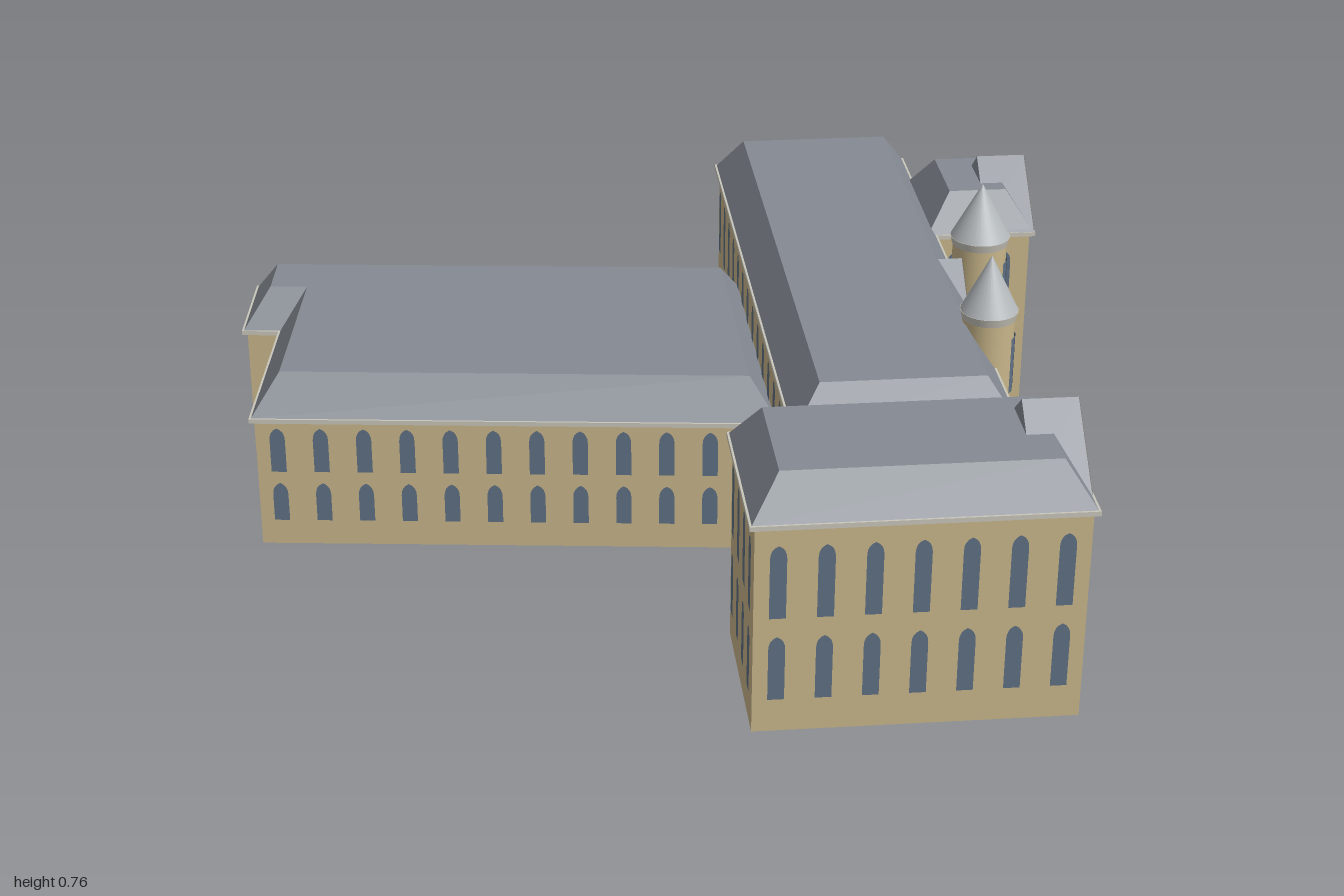
import * as THREE from 'three';

const mat = (name, color, side = THREE.FrontSide) => {
  const m = new THREE.MeshStandardMaterial({ color, side });
  m.name = name;
  return m;
};
const D = THREE.DoubleSide;
const stone = mat('sandstone', 0xc8b68a, D);
const slate = mat('slate', 0x858b93, D);
const trim = mat('pale stone', 0xc9c6bb, D);
const glass = mat('window blue', 0x5f7084, D);
const lead = mat('spire grey', 0xb4b9bc);
const wood = mat('door brown', 0x6b4034, D);

function add(parent, name, geo, material, x = 0, y = 0, z = 0) {
  const m = new THREE.Mesh(geo, material);
  m.name = name;
  m.position.set(x, y, z);
  parent.add(m);
  return m;
}

// outward unit normal of a plan edge [x, z] -> [x, z]
function normal(a, b) {
  const dx = b[0] - a[0], dz = b[1] - a[1], l = Math.hypot(dx, dz);
  return [-dz / l, dx / l];
}

// mitred offset of a plan outline (positive = outward)
function offset(poly, o) {
  return poly.map((p, i) => {
    const n = poly.length;
    const a = normal(poly[(i + n - 1) % n], p), b = normal(p, poly[(i + 1) % n]);
    const k = o / (1 + a[0] * b[0] + a[1] * b[1]);
    return [p[0] + (a[0] + b[0]) * k, p[1] + (a[1] + b[1]) * k];
  });
}

// faceted shell through rings [offset, y] of a plan outline, optionally capped on top
function shell(poly, rings, cap = false) {
  const pos = [];
  const loops = rings.map(([o, y]) => offset(poly, o).map(p => [p[0], y, p[1]]));
  for (let r = 0; r + 1 < loops.length; r++) {
    for (let i = 0; i < poly.length; i++) {
      const j = (i + 1) % poly.length;
      const a = loops[r][i], b = loops[r][j], c = loops[r + 1][j], d = loops[r + 1][i];
      pos.push(...a, ...b, ...c, ...a, ...c, ...d);
    }
  }
  if (cap) {
    const top = loops[loops.length - 1];
    const flat = top.map(p => new THREE.Vector2(p[0], -p[2]));
    for (const f of THREE.ShapeUtils.triangulateShape(flat, [])) for (const i of f) pos.push(...top[i]);
  }
  const g = new THREE.BufferGeometry();
  g.setAttribute('position', new THREE.Float32BufferAttribute(pos, 3));
  g.computeVertexNormals();
  return g;
}

// pointed-arch panel standing on y = 0
function arch(w, h) {
  const s = new THREE.Shape();
  const k = h - w * 0.85;
  s.moveTo(-w / 2, 0);
  s.lineTo(w / 2, 0);
  s.lineTo(w / 2, k);
  s.quadraticCurveTo(w / 2, h - w * 0.2, 0, h);
  s.quadraticCurveTo(-w / 2, h - w * 0.2, -w / 2, k);
  return new THREE.ShapeGeometry(s, 4);
}

function panel(parent, name, geo, material, x, y, z, turn) {
  add(parent, name, geo, material, x, y, z).rotation.y = turn;
}

// walls, cornice, hipped flat-topped roof and rows of windows; counts = windows per edge
function building(root, name, poly, h, rise, counts, rows, skip = () => false) {
  const g = new THREE.Group();
  g.name = name;
  root.add(g);
  add(g, 'walls', shell(poly, [[0, 0], [0, h]]), stone);
  add(g, 'cornice', shell(poly, [[0, h - 0.008], [0.012, h - 0.003], [0.012, h + 0.008], [0.006, h + 0.008]]), trim);
  add(g, 'roof', shell(poly, [[0.007, h + 0.008], [-0.056, h + rise]], true), slate);
  poly.forEach((a, e) => {
    const b = poly[(e + 1) % poly.length], n = normal(a, b), count = counts[e];
    for (let i = 0; i < count; i++) {
      const t = (i + 0.5) / count;
      const x = a[0] + (b[0] - a[0]) * t + n[0] * 0.003;
      const z = a[1] + (b[1] - a[1]) * t + n[1] * 0.003;
      rows.forEach(([y0, y1], r) => {
        if (!skip(e, i, r)) panel(g, 'window', arch(0.036, y1 - y0), glass, x, y0, z, Math.atan2(n[0], n[1]));
      });
    }
  });
  return g;
}

const rect = (x0, x1, z0, z1) => [[x0, z1], [x1, z1], [x1, z0], [x0, z0]];

// cross gable facing +x, its ridge running from x0 to x1
function gable(parent, x0, x1, z, half, y0, rise, windowed = true) {
  const tri = k => {
    const s = new THREE.Shape();
    s.moveTo(-half * k, 0);
    s.lineTo(half * k, 0);
    s.lineTo(0, rise * k);
    return s;
  };
  const g = new THREE.Group();
  g.name = 'gable';
  g.position.set(x0, y0, z);
  g.rotation.y = Math.PI / 2;
  parent.add(g);
  const d = x1 - x0;
  add(g, 'gableRoof', new THREE.ExtrudeGeometry(tri(1), { depth: d - 0.005, bevelEnabled: false }), slate);
  add(g, 'gableTrim', new THREE.ShapeGeometry(tri(1)), trim, 0, 0, d - 0.004);
  add(g, 'gableWall', new THREE.ShapeGeometry(tri(0.92)), stone, 0, 0, d - 0.002);
  if (windowed) add(g, 'gableWindow', arch(0.04, 0.08), glass, 0, 0.012, d);
}

// round stair tower with a conical spire
function tower(root, x, z, r) {
  const g = new THREE.Group();
  g.name = 'tower';
  g.position.set(x, 0, z);
  root.add(g);
  add(g, 'towerShaft', new THREE.CylinderGeometry(r, r, 0.62, 32, 1, true), stone, 0, 0.31);
  add(g, 'towerRing', new THREE.CylinderGeometry(r + 0.007, r + 0.002, 0.02, 32), trim, 0, 0.62);
  add(g, 'spire', new THREE.ConeGeometry(r + 0.006, 0.133, 32), lead, 0, 0.6965);
  for (const a of [-0.56, 0, 0.56]) {
    for (const [y0, y1] of [[0.28, 0.4], [0.43, 0.57]]) {
      panel(g, 'towerWindow', new THREE.PlaneGeometry(0.021, y1 - y0), glass,
        Math.cos(a) * (r + 0.002), (y0 + y1) / 2, Math.sin(a) * (r + 0.002), Math.PI / 2 - a);
    }
  }
}

export function createModel() {
  const root = new THREE.Group();
  root.name = 'collegeBuilding';
  const tall = [[0.08, 0.235], [0.28, 0.455]];
  const low = [[0.065, 0.165], [0.195, 0.31]];

  // long central hall with a small dormer
  const hall = building(root, 'mainHall', rect(0.25, 0.735, -0.96, 0.57), 0.5, 0.1, [0, 15, 5, 15], tall,
    (e, i, r) => e === 1 && ((i === 4 && r === 1) || (i === 5 && r === 0)));
  gable(hall, 0.685, 0.748, -0.13, 0.1, 0.508, 0.083, false);

  // front wing and rear side wing, each with a gable
  const front = building(root, 'frontWing', rect(0.11, 0.82, 0.565, 0.963), 0.5, 0.1, [7, 4, 7, 4], tall);
  gable(front, 0.705, 0.833, 0.735, 0.17, 0.508, 0.145);
  const rear = building(root, 'rearWing', rect(0.73, 0.985, -0.79, -0.465), 0.5, 0.1, [2, 3, 2, 0], tall);
  gable(rear, 0.873, 0.999, -0.623, 0.168, 0.508, 0.142);

  // lower annex, set at a slight angle, with a stepped end
  building(root, 'annex',
    [[-0.955, 0.06], [0.256, 0.195], [0.256, -0.53], [-0.965, -0.665], [-0.99, -0.42], [-0.9, -0.41]],
    0.33, 0.1, [12, 0, 12, 3, 0, 5], low);

  tower(root, 0.735, 0.238, 0.06);
  tower(root, 0.795, -0.177, 0.065);

  // entrance porch with twin doors
  const porch = new THREE.Group();
  porch.name = 'porch';
  porch.position.z = 0.032;
  root.add(porch);
  add(porch, 'porchWall', new THREE.BoxGeometry(0.03, 0.185, 0.108), trim, 0.745, 0.0925);
  add(porch, 'landing', new THREE.BoxGeometry(0.055, 0.06, 0.112), trim, 0.7625, 0.03);
  add(porch, 'porchRoof', shell(rect(0.68, 0.764, -0.06, 0.06), [[0, 0.185], [0, 0.193], [-0.041, 0.245]], true), slate);
  for (const s of [-1, 1]) panel(porch, 'door', arch(0.04, 0.095), wood, 0.762, 0.06, s * 0.026, Math.PI / 2);
  for (let i = 0; i < 4; i++) {
    const h = 0.054 - i * 0.013;
    add(porch, 'step', new THREE.BoxGeometry(0.02, h, 0.085), trim, 0.8 + i * 0.02, h / 2);
  }
  return root;
}
